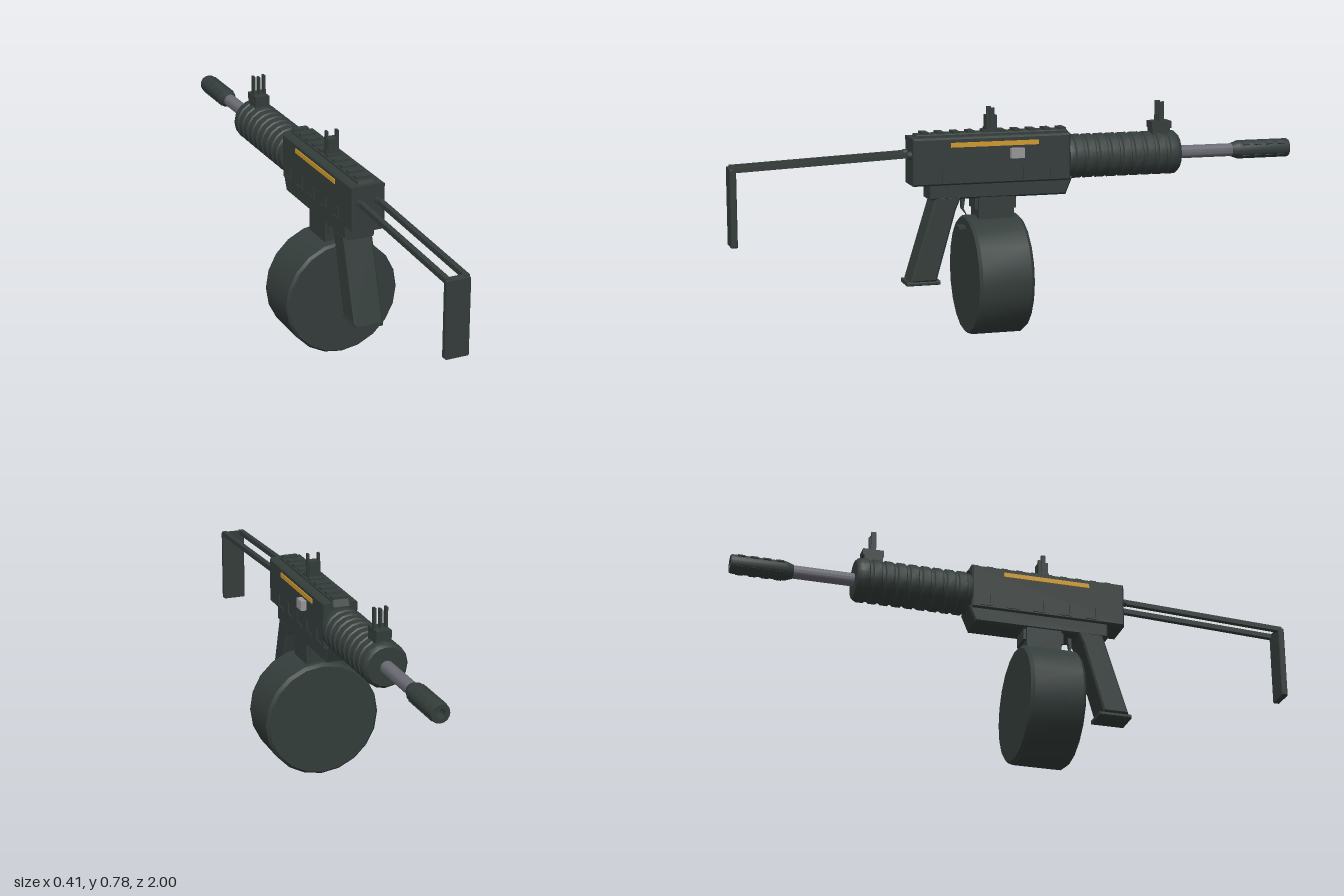
import * as THREE from 'three';
import { toCreasedNormals } from 'three/addons/utils/BufferGeometryUtils.js';

export function createModel() {
  const root = new THREE.Group();
  const mat = (name, color) => {
    const m = new THREE.MeshStandardMaterial({ color });
    m.name = name;
    return m;
  };
  const dark = mat('darkGunmetal', 0x343d3b);
  const steel = mat('barrelSteel', 0x6a6a74);
  const light = mat('boltSteel', 0x97979a);
  const gold = mat('goldStripe', 0xd09a2c);

  const add = (name, geo, material = dark) => {
    const mesh = new THREE.Mesh(geo, material);
    mesh.name = name;
    root.add(mesh);
    return mesh;
  };
  // Box given by its limits on each axis
  const box = (name, x0, x1, y0, y1, z0, z1, material) => {
    const m = add(name, new THREE.BoxGeometry(x1 - x0, y1 - y0, z1 - z0), material);
    m.position.set((x0 + x1) / 2, (y0 + y1) / 2, (z0 + z1) / 2);
    return m;
  };
  // Side outline of [z, y] points, extruded across x with a small bevel
  const slab = (name, pts, halfWidth, bevel = 0.006) => {
    const g = new THREE.ExtrudeGeometry(new THREE.Shape(pts.map(p => new THREE.Vector2(...p))), {
      depth: 2 * (halfWidth - bevel), bevelEnabled: bevel > 0, bevelSize: bevel,
      bevelOffset: -bevel, bevelThickness: bevel, bevelSegments: 1,
    });
    g.translate(0, 0, bevel - halfWidth).rotateY(-Math.PI / 2);
    return add(name, g);
  };
  // Turned part along z, from [radius, z] points with z rising
  const turned = (name, pts, y, sides, material) => {
    const g = new THREE.LatheGeometry(pts.map(p => new THREE.Vector2(...p)), sides);
    g.rotateX(Math.PI / 2);
    const m = add(name, toCreasedNormals(g, 0.5), material);
    m.position.y = y;
    return m;
  };

  // Receiver, upper and lower
  slab('upperReceiver', [[0.385, 0.53], [0.385, 0.692], [-0.17, 0.692], [-0.17, 0.53]], 0.06);
  slab('lowerReceiver', [[0.325, 0.48], [0.325, 0.54], [-0.18, 0.54], [-0.155, 0.48]], 0.053);

  // Top rail with cross ribs
  slab('topRail', [[0.375, 0.68], [0.365, 0.702], [-0.165, 0.702], [-0.18, 0.68]], 0.03, 0.004);
  for (let i = 0; i < 10; i++) {
    const z = 0.335 - i * 0.054;
    box('railRib', -0.027, 0.027, 0.7, 0.709, z - 0.012, z + 0.012);
  }

  // Side details on both sides
  for (const s of [-1, 1]) {
    const plate = (name, y0, y1, z0, z1, m) => {
      const a = s * 0.058, b = s * 0.0635;
      box(name, Math.min(a, b), Math.max(a, b), y0, y1, z0, z1, m);
    };
    plate('sideStripe', 0.659, 0.675, -0.055, 0.255, gold);
    for (let i = 0; i < 5; i++) {
      const z = 0.28 - i * 0.095;
      plate('sideRib', 0.54, 0.585, z - 0.004, z + 0.004);
      plate('sideRibFoot', 0.54, 0.548, z - 0.04, z);
    }
  }
  box('chargingHandle', 0.05, 0.08, 0.616, 0.65, 0.0, 0.048, light);

  // Ribbed handguard
  const guard = [[0, -0.575], [0.066, -0.575], [0.073, -0.568]];
  for (let i = 0; i < 9; i++) {
    const z = -0.56 + i * 0.043;
    guard.push([0.077, z], [0.077, z + 0.026], [0.072, z + 0.03], [0.072, z + 0.039]);
  }
  guard.push([0.07, -0.168], [0, -0.168]);
  turned('handguard', guard, 0.604, 16);

  // Barrel and muzzle
  turned('barrel', [[0.023, -0.82], [0.023, -0.56]], 0.602, 16, steel);
  turned('muzzle', [[0, -0.96], [0.016, -0.96], [0.016, -1], [0.031, -1], [0.033, -0.995],
    [0.033, -0.81], [0.024, -0.785], [0, -0.785]], 0.602, 16);
  for (let i = 0; i < 4; i++) {
    for (let j = 0; j < 4; j++) {
      const a = Math.PI / 4 + j * Math.PI / 2;
      const port = add('muzzleLug', new THREE.BoxGeometry(0.012, 0.014, 0.026));
      port.position.set(0.029 * Math.cos(a), 0.602 + 0.029 * Math.sin(a), -0.965 + i * 0.044);
      port.rotation.z = a;
    }
  }

  // Front sight
  box('frontSightFoot', -0.027, 0.027, 0.67, 0.695, -0.545, -0.48);
  box('frontSightBase', -0.026, 0.026, 0.692, 0.716, -0.55, -0.477);
  for (const x of [-0.02, 0, 0.02]) {
    box('frontSightProng', x - 0.004, x + 0.004, 0.71, x ? 0.785 : 0.78, -0.522, -0.504);
  }

  // Rear sight
  box('rearSightBase', -0.024, 0.024, 0.7, 0.716, 0.08, 0.12);
  box('rearSightBlock', -0.02, 0.02, 0.715, 0.759, 0.082, 0.118);
  for (const x of [-0.019, 0.019]) {
    box('rearSightProng', x - 0.004, x + 0.004, 0.715, 0.785, 0.092, 0.108);
  }

  // Drum magazine and its neck
  turned('drumMagazine', [[0, 0.0], [0.197, 0.0], [0.207, 0.012], [0.207, 0.183],
    [0.199, 0.193], [0, 0.193]], 0.208, 20);
  box('magazineNeck', -0.05, 0.05, 0.38, 0.49, 0.03, 0.155);
  box('neckCollar', -0.04, 0.04, 0.44, 0.485, 0.02, 0.165);
  box('magazineCatch', -0.02, 0.02, 0.37, 0.38, 0.185, 0.218);

  // Pistol grip, floor plate and trigger
  slab('grip', [[0.305, 0.49], [0.215, 0.49], [0.235, 0.445], [0.305, 0.2], [0.395, 0.2]], 0.053);
  slab('gripBase', [[0.407, 0.187], [0.407, 0.2], [0.29, 0.2], [0.29, 0.187]], 0.048, 0.003);
  slab('trigger', [[0.205, 0.485], [0.19, 0.485], [0.197, 0.44], [0.185, 0.415], [0.205, 0.44]], 0.008, 0);

  // Folding stock: two rods, cross bar and shoulder plate
  const rodEnds = [new THREE.Vector3(0, 0.636, 0.37), new THREE.Vector3(0, 0.609, 0.99)];
  const rodDir = rodEnds[1].clone().sub(rodEnds[0]);
  for (const x of [-0.033, 0.033]) {
    const rod = add('stockRod', new THREE.BoxGeometry(0.018, 0.017, rodDir.length()));
    rod.position.addVectors(rodEnds[0], rodEnds[1]).multiplyScalar(0.5).setX(x);
    rod.rotation.x = Math.atan2(-rodDir.y, rodDir.z);
    const socket = add('rodSocket', new THREE.CylinderGeometry(0.013, 0.013, 0.02, 12).rotateX(Math.PI / 2));
    socket.position.set(x, 0.634, 0.39);
  }
  slab('shoulderPlate', [[1, 0.35], [1, 0.612], [0.978, 0.617], [0.978, 0.35]], 0.042, 0.003);

  return root;
}
